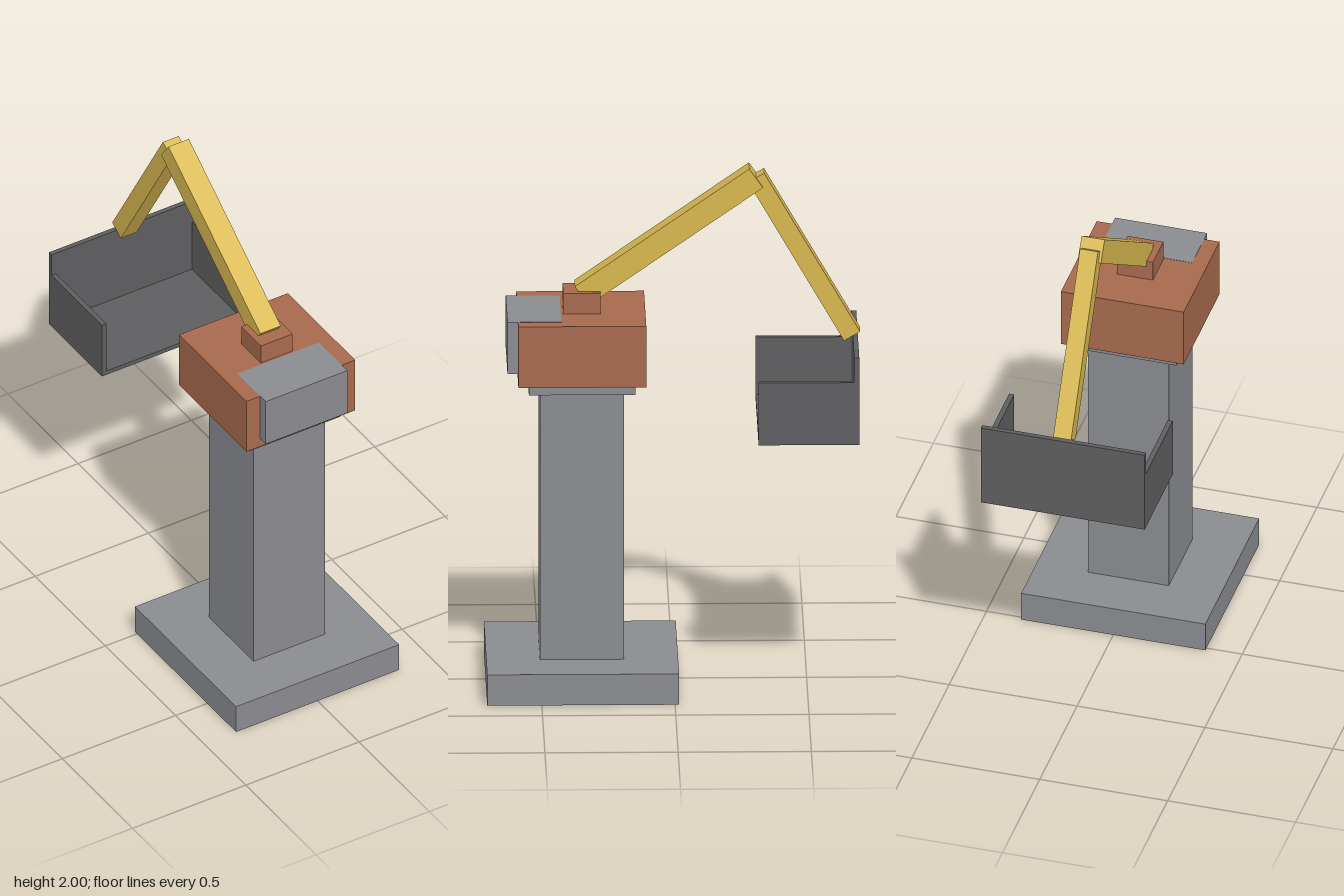
import * as THREE from 'three';

function flat(name, color) {
  const m = new THREE.MeshStandardMaterial({ color });
  m.name = name;
  return m;
}

export function createModel() {
  const grey = flat('concreteGrey', 0x8b8c90);
  const dark = flat('bucketGrey', 0x5f5f61);
  const rust = flat('rustOrange', 0xa86a4e);
  const yellow = flat('armYellow', 0xd8b850);

  const model = new THREE.Group();
  model.name = 'craneArm';

  // Box given by its extents along each axis
  function box(parent, name, mat, [x0, x1], [y0, y1], [z0, z1]) {
    const mesh = new THREE.Mesh(new THREE.BoxGeometry(x1 - x0, y1 - y0, z1 - z0), mat);
    mesh.position.set((x0 + x1) / 2, (y0 + y1) / 2, (z0 + z1) / 2);
    mesh.name = name;
    parent.add(mesh);
    return mesh;
  }

  // Square beam running between two points of the centre plane
  function beam(name, size, [y0, z0], [y1, z1]) {
    const a = new THREE.Vector3(0, y0, z0), b = new THREE.Vector3(0, y1, z1);
    const mesh = new THREE.Mesh(new THREE.BoxGeometry(size, size, a.distanceTo(b)), yellow);
    mesh.position.addVectors(a, b).multiplyScalar(0.5);
    mesh.rotation.x = Math.atan2(y0 - y1, z1 - z0);
    mesh.name = name;
    model.add(mesh);
  }

  // Pedestal
  box(model, 'base', grey, [-0.36, 0.36], [0, 0.12], [-0.015, 0.705]);
  box(model, 'column', grey, [-0.158, 0.158], [0.12, 1.165], [0.188, 0.504]);
  box(model, 'collar', grey, [-0.2, 0.2], [1.165, 1.205], [0.146, 0.546]);

  // Rotating body, its counterweight and the arm mount
  box(model, 'body', rust, [-0.24, 0.24], [1.205, 1.444], [0.106, 0.586]);
  box(model, 'counterweight', grey, [-0.18, 0.18], [1.243, 1.445], [0.424, 0.626]);
  box(model, 'armMount', rust, [-0.07, 0.07], [1.444, 1.525], [0.275, 0.415]);

  // Folding arm
  beam('boom', 0.09, [1.507, 0.345], [1.963, -0.31]);
  beam('stick', 0.07, [1.963, -0.31], [1.342, -0.67]);

  // Open-fronted bucket
  const bucket = new THREE.Group();
  bucket.name = 'bucket';
  model.add(bucket);
  box(bucket, 'bucketFloor', dark, [-0.3, 0.3], [1, 1.018], [-0.673, -0.314]);
  box(bucket, 'bucketBack', dark, [-0.32, 0.32], [1, 1.34], [-0.692, -0.673]);
  for (const s of [-1, 1]) {
    const side = box(bucket, s > 0 ? 'bucketLeftSide' : 'bucketRightSide', dark,
      [0.3, 0.32], [1, 1.243], [-0.673, -0.314]);
    side.position.x *= s;
  }

  return model;
}
